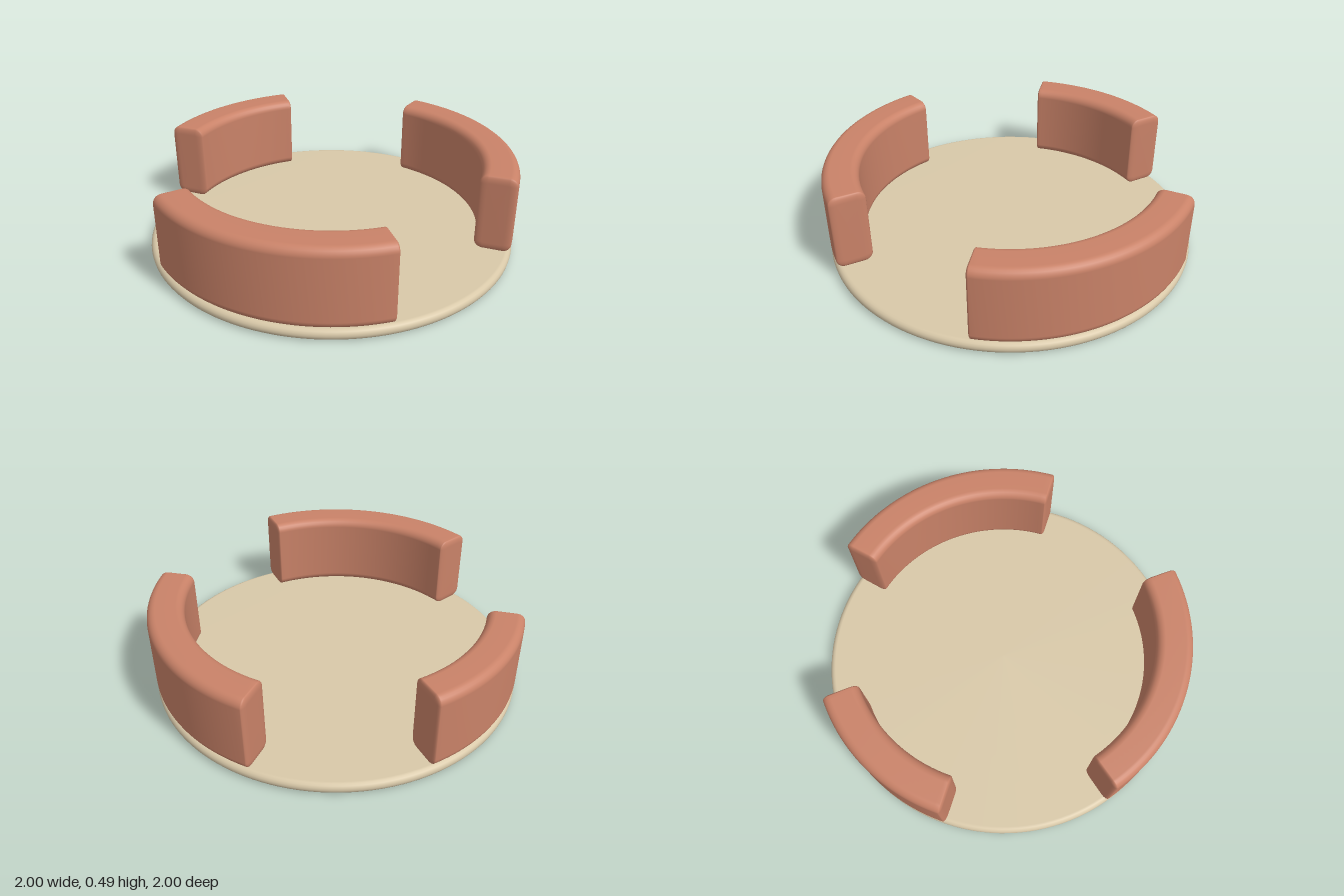
import * as THREE from 'three';

const OUTER = 1, INNER = 0.805, BOTTOM = 0.062, TOP = 0.487, ROUND = 0.045;

// Rounded rectangle of (radius, height) points, shrunk evenly by an inset
function section(inset) {
  const points = [];
  const corners = [[OUTER, TOP], [INNER, TOP], [INNER, BOTTOM], [OUTER, BOTTOM]];
  corners.forEach(([r, y], c) => {
    const cr = r === OUTER ? r - ROUND : r + ROUND;
    const cy = y === TOP ? y - ROUND : y + ROUND;
    for (let k = 0; k <= 6; k++) {
      const a = (c + k / 6) * Math.PI / 2;
      points.push([cr + Math.cos(a) * (ROUND - inset), cy + Math.sin(a) * (ROUND - inset)]);
    }
  });
  return points;
}

// Curved block swept between two angles (degrees from +x towards +z), with softly rounded ends
function arcBlock(fromDeg, toDeg) {
  const from = THREE.MathUtils.degToRad(fromDeg), to = THREE.MathUtils.degToRad(toDeg);
  const depth = 0.015, inset = 0.04, steps = 40, capSteps = 5;
  const rings = [];
  for (let k = 0; k < capSteps; k++) {
    const t = k / capSteps * Math.PI / 2;
    rings.push([from + depth * (1 - Math.sin(t)), inset * (1 - Math.cos(t))]);
  }
  // Start cap runs from the tip inwards, the end cap mirrors it
  const startCap = rings.map((_, k) => {
    const t = k / capSteps * Math.PI / 2;
    return [depth * (1 - Math.cos(t)), inset * (1 - Math.sin(t))];
  });
  const path = startCap.map(([d, n]) => [from + d, n]);
  for (let k = 0; k <= steps; k++) {
    path.push([THREE.MathUtils.lerp(from + depth, to - depth, k / steps), 0]);
  }
  startCap.slice().reverse().forEach(([d, n]) => path.push([to - d, n]));

  const positions = [], index = [];
  const add = (r, y, a) => positions.push(r * Math.cos(a), y, r * Math.sin(a));
  path.forEach(([a, n]) => section(n).forEach(([r, y]) => add(r, y, a)));
  const count = section(0).length, last = path.length - 1;
  for (let i = 0; i < last; i++) {
    for (let j = 0; j < count; j++) {
      const a = i * count + j, b = i * count + (j + 1) % count;
      index.push(a, b, b + count, a, b + count, a + count);
    }
  }
  // Flat middle of both ends
  const centre = path.length * count;
  add((OUTER + INNER) / 2, (TOP + BOTTOM) / 2, from);
  add((OUTER + INNER) / 2, (TOP + BOTTOM) / 2, to);
  for (let j = 0; j < count; j++) {
    const k = (j + 1) % count;
    index.push(centre, k, j, centre + 1, last * count + j, last * count + k);
  }
  const geometry = new THREE.BufferGeometry();
  geometry.setAttribute('position', new THREE.Float32BufferAttribute(positions, 3));
  geometry.setIndex(index);
  geometry.computeVertexNormals();
  return geometry;
}

export function createModel() {
  const group = new THREE.Group();
  group.name = 'ringSeating';
  const sand = new THREE.MeshStandardMaterial({ color: 0xd8c8a8 });
  sand.name = 'sand';
  const terracotta = new THREE.MeshStandardMaterial({ color: 0xc98268 });
  terracotta.name = 'terracotta';

  const addPart = (name, geometry, material) => {
    const mesh = new THREE.Mesh(geometry, material);
    mesh.name = name;
    group.add(mesh);
  };

  // Round base with a half-round rim
  const profile = [new THREE.Vector2(0, 0)];
  for (let k = 0; k <= 8; k++) {
    const a = (k / 8 - 0.5) * Math.PI;
    profile.push(new THREE.Vector2(0.97 + 0.03 * Math.cos(a), 0.03 + 0.03 * Math.sin(a)));
  }
  profile.push(new THREE.Vector2(0, 0.06));
  addPart('base', new THREE.LatheGeometry(profile, 128), sand);

  // Three curved blocks around the rim
  addPart('backBlock', arcBlock(-115.2, -64.8), terracotta);
  addPart('leftBlock', arcBlock(-13.5, 64.2), terracotta);
  addPart('rightBlock', arcBlock(115.8, 193.5), terracotta);

  return group;
}
